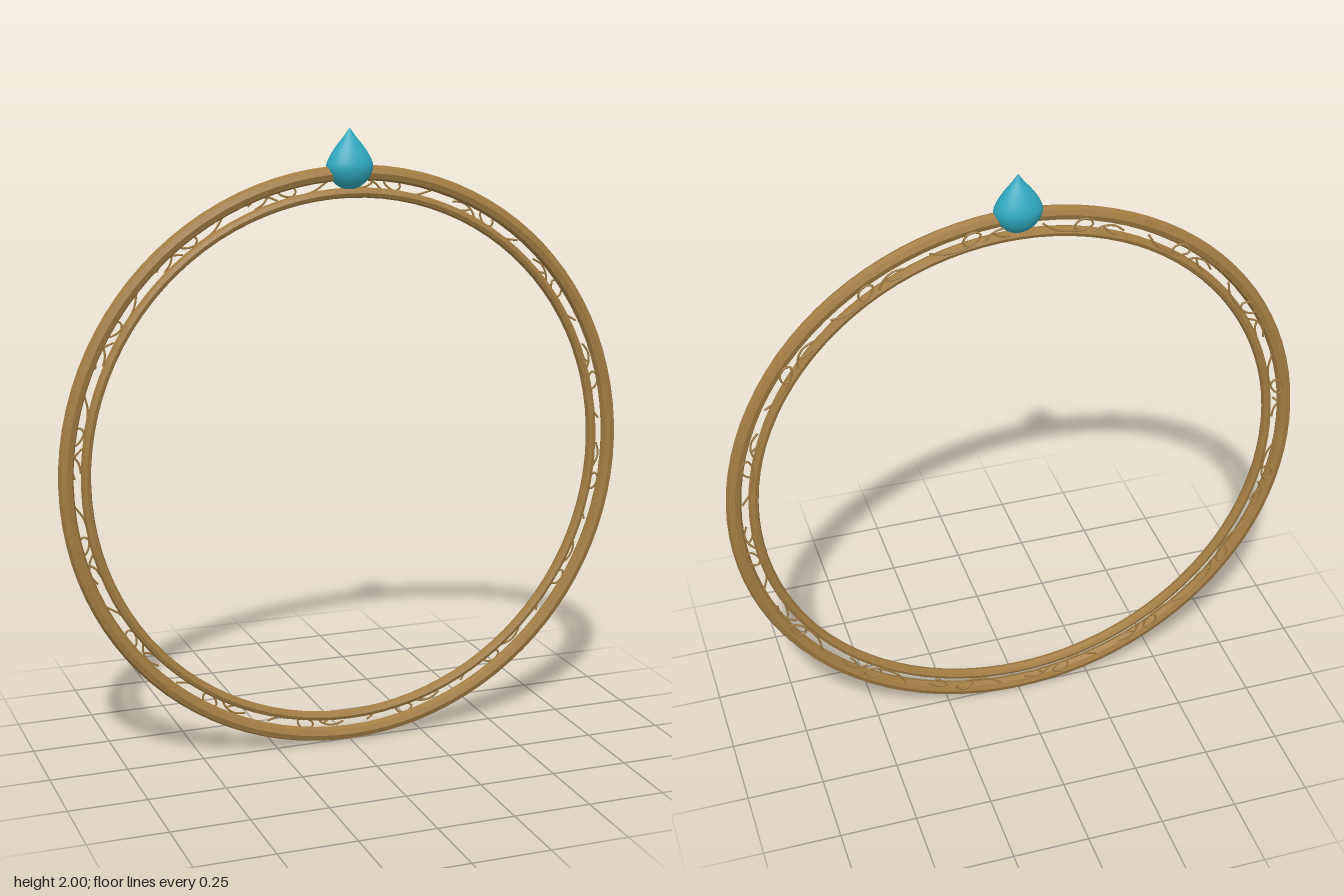
import * as THREE from 'three';

const CY = 0.945; // height of the ring centre

export function createModel() {
  const model = new THREE.Group();
  const gold = new THREE.MeshStandardMaterial({ color: 0xa37c43, flatShading: true });
  const wire = new THREE.MeshStandardMaterial({ color: 0xa37c43 });
  const teal = new THREE.MeshStandardMaterial({ color: 0x2fa8be });

  const add = (parent, name, geometry, material) => {
    const mesh = new THREE.Mesh(geometry, material);
    mesh.name = name;
    parent.add(mesh);
    return mesh;
  };

  // Two concentric hoops with eight-sided tubes
  const hoop = (name, radius, width, depth) => {
    const geometry = new THREE.TorusGeometry(radius, width, 8, 96);
    geometry.scale(1, 1, depth / width);
    add(model, name, geometry, gold).position.y = CY;
  };
  hoop('outerHoop', 0.917, 0.024, 0.022);
  hoop('innerHoop', 0.855, 0.016, 0.018);

  // Filigree: curled wires repeated around the gap, set towards the back
  const strands = {
    curl: [[-0.16, 0.012], [-0.11, -0.012], [-0.05, -0.017], [0, -0.008], [0.022, 0.012],
      [0, 0.026], [-0.03, 0.018], [-0.042, -0.002], [-0.025, -0.016]],
    leaf: [[0.03, -0.014], [0.06, 0.006], [0.1, 0.014], [0.14, 0.004]],
    tendril: [[0.06, 0.008], [0.085, -0.008], [0.12, -0.015]],
  };
  const filigree = new THREE.Group();
  filigree.name = 'filigree';
  filigree.position.y = CY;
  model.add(filigree);
  const COUNT = 16;
  for (const [name, points] of Object.entries(strands)) {
    const curve = new THREE.CatmullRomCurve3(points.map(([a, dr]) => {
      const r = 0.881 + dr;
      return new THREE.Vector3(r * Math.cos(a), r * Math.sin(a), -0.02);
    }));
    const geometry = new THREE.TubeGeometry(curve, points.length * 4, 0.0035, 5);
    for (let i = 0; i < COUNT; i++) {
      add(filigree, name, geometry, wire).rotation.z = ((i + 0.6) / COUNT) * Math.PI * 2;
    }
  }

  // Teardrop stone on top, flattened front to back
  const profile = new THREE.SplineCurve([
    [0, 1.81], [0.03, 1.817], [0.06, 1.842], [0.075, 1.876],
    [0.067, 1.907], [0.044, 1.943], [0.02, 1.972], [0, 2],
  ].map(([x, y]) => new THREE.Vector2(x, y))).getPoints(28);
  profile[0].x = profile[28].x = 0;
  add(model, 'teardropStone', new THREE.LatheGeometry(profile, 32), teal).scale.z = 0.71;

  return model;
}
